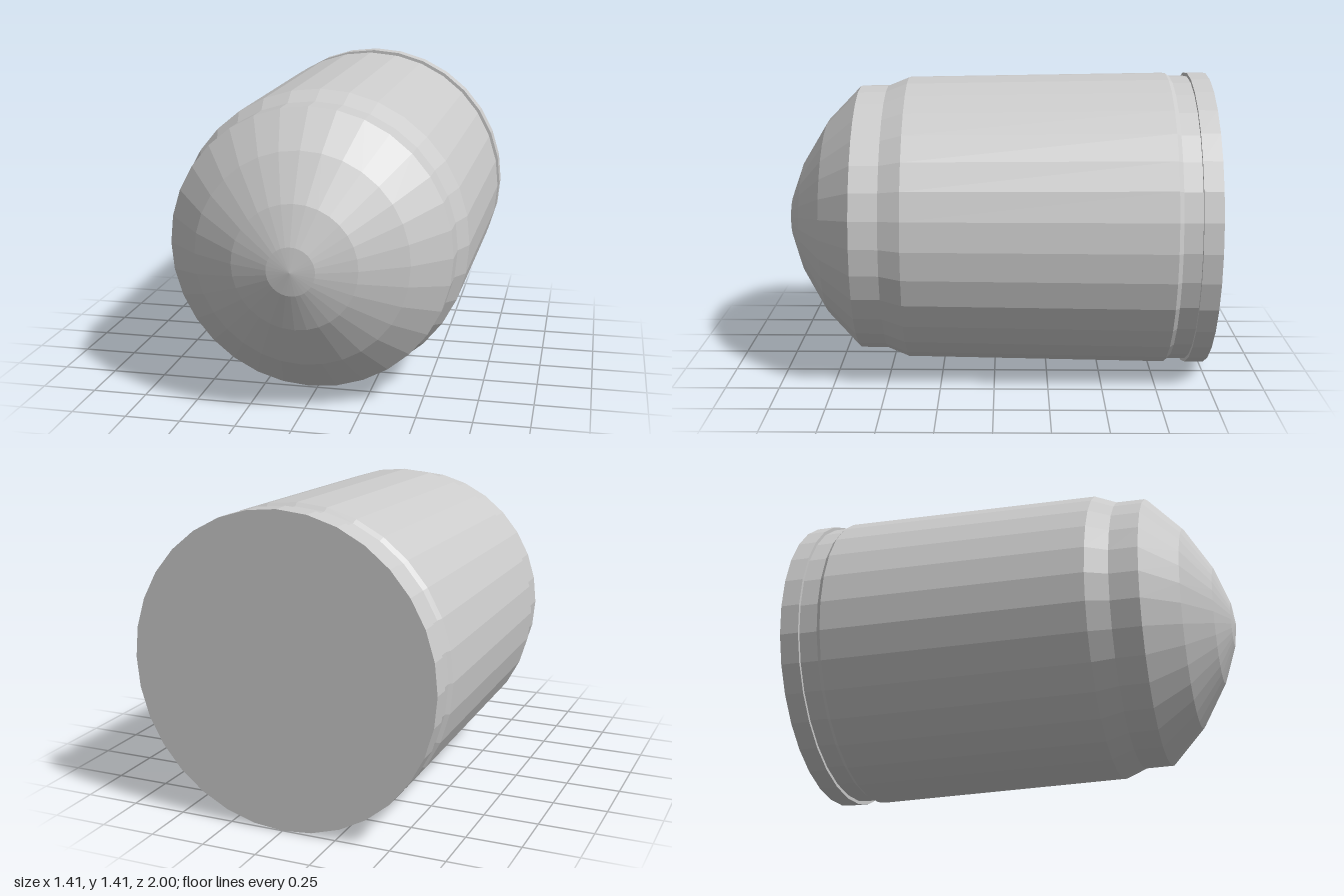
import * as THREE from 'three';

const SIDES = 32;
const AXIS_HEIGHT = 0.706;

export function createModel() {
  const group = new THREE.Group();
  group.name = 'bullet';
  const material = new THREE.MeshStandardMaterial({ color: 0xcccccc, flatShading: true });

  // Turns a profile of [radius, z] pairs, listed back to front, around the z axis
  const turned = (name, profile) => {
    const points = profile.map(([r, z]) => new THREE.Vector2(r, z));
    const geometry = new THREE.LatheGeometry(points, SIDES);
    geometry.rotateX(Math.PI / 2);
    const mesh = new THREE.Mesh(geometry, material);
    mesh.name = name;
    mesh.position.y = AXIS_HEIGHT;
    group.add(mesh);
  };

  // Flat base with its rim, up to the groove
  turned('baseRim', [[0, -1], [0.704, -1], [0.704, -0.912], [0.688, -0.912]]);

  // Recessed ring between rim and casing
  turned('grooveRing', [[0.688, -0.912], [0.688, -0.828]]);

  // Tapered casing with shoulder and short neck
  turned('casing', [[0.688, -0.828], [0.703, -0.808], [0.682, 0.412], [0.641, 0.512], [0.639, 0.643]]);

  // Faceted domed nose
  turned('nose', [[0.639, 0.643], [0.477, 0.8], [0.276, 0.922], [0.106, 0.985], [0, 1]]);

  return group;
}
